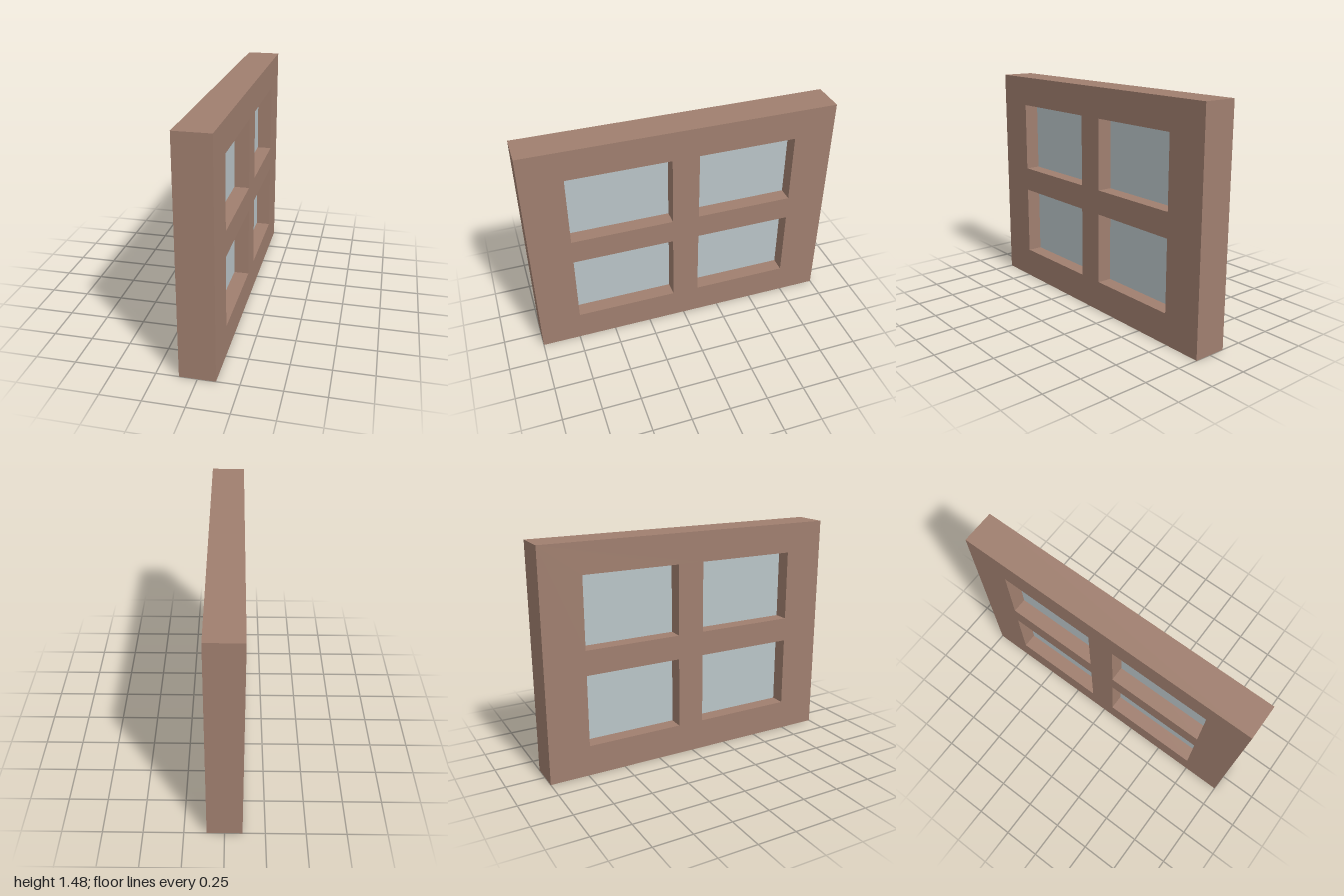
import * as THREE from 'three';

export function createModel() {
  const model = new THREE.Group();
  model.name = 'window';

  const wood = new THREE.MeshStandardMaterial({ color: 0xa07f6f });
  wood.name = 'brown wood';
  const glass = new THREE.MeshStandardMaterial({ color: 0xbac5c8 });
  glass.name = 'pale glass';

  const height = 1.48, depth = 0.22, paneDepth = 0.026;
  const columns = [[-0.735, -0.1], [0.075, 0.735]]; // z ranges of the openings
  const rows = [[0.2, 0.665], [0.825, 1.285]]; // y ranges of the openings

  // Outline drawn with shape x = -z, so that a quarter turn faces it to +x
  const rect = (target, z0, z1, y0, y1) => target
    .moveTo(-z1, y0).lineTo(-z0, y0).lineTo(-z0, y1).lineTo(-z1, y1).closePath();
  const outline = rect(new THREE.Shape(), -1, 1, 0, height);

  for (const [z0, z1] of columns) {
    for (const [y0, y1] of rows) {
      // Opening through the frame
      outline.holes.push(rect(new THREE.Path(), z0, z1, y0, y1));

      // Glass pane set midway through the opening
      const pane = new THREE.Mesh(new THREE.BoxGeometry(paneDepth, y1 - y0, z1 - z0), glass);
      pane.name = 'pane';
      pane.position.set(0, (y0 + y1) / 2, (z0 + z1) / 2);
      model.add(pane);
    }
  }

  // Frame with its cross bars in one piece
  const geometry = new THREE.ExtrudeGeometry(outline, { depth, bevelEnabled: false });
  geometry.translate(0, 0, -depth / 2).rotateY(Math.PI / 2);
  const frame = new THREE.Mesh(geometry, wood);
  frame.name = 'frame';
  model.add(frame);

  return model;
}
